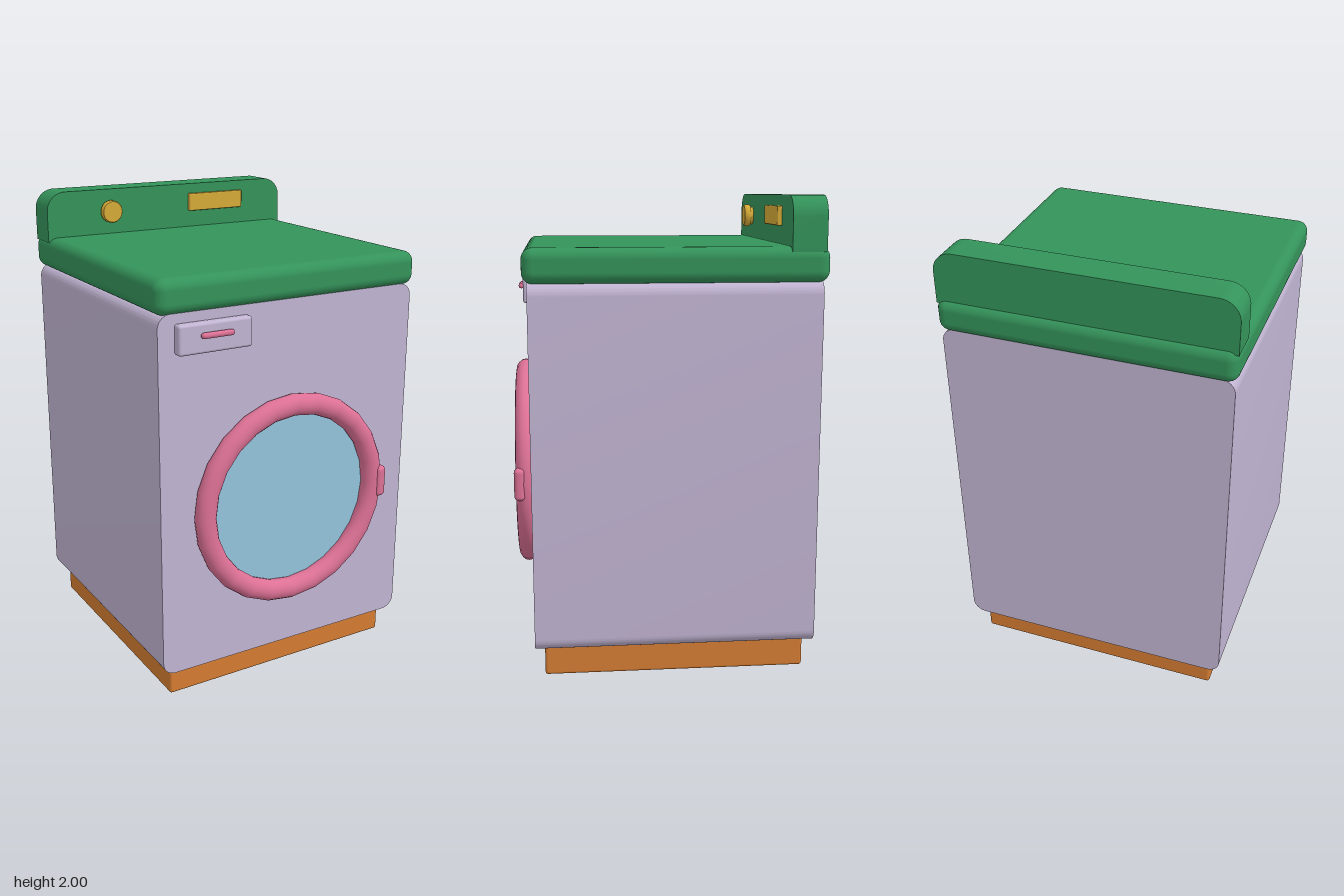
import * as THREE from 'three';
import { toCreasedNormals } from 'three/addons/utils/BufferGeometryUtils.js';
import { RoundedBoxGeometry } from 'three/addons/geometries/RoundedBoxGeometry.js';

const mat = (name, color) => {
  const m = new THREE.MeshStandardMaterial({ color });
  m.name = name;
  return m;
};

// Upright slab with rounded corners (top radius rt, bottom radius rb), running from z0 to z1
function slab(x0, x1, y0, y1, z0, z1, rt, rb) {
  const s = new THREE.Shape();
  s.moveTo(x0 + rb, y0);
  s.lineTo(x1 - rb, y0);
  if (rb) s.absarc(x1 - rb, y0 + rb, rb, -Math.PI / 2, 0);
  s.lineTo(x1, y1 - rt);
  s.absarc(x1 - rt, y1 - rt, rt, 0, Math.PI / 2);
  s.lineTo(x0 + rt, y1);
  s.absarc(x0 + rt, y1 - rt, rt, Math.PI / 2, Math.PI);
  s.lineTo(x0, y0 + rb);
  if (rb) s.absarc(x0 + rb, y0 + rb, rb, Math.PI, Math.PI * 1.5);
  const g = new THREE.ExtrudeGeometry(s, { depth: z1 - z0, bevelEnabled: false, curveSegments: 8 });
  return toCreasedNormals(g.translate(0, 0, z0), 0.6);
}

// Box with softened edges given by its limits
function softBox(x0, x1, y0, y1, z0, z1, r) {
  return new RoundedBoxGeometry(x1 - x0, y1 - y0, z1 - z0, 4, r)
    .translate((x0 + x1) / 2, (y0 + y1) / 2, (z0 + z1) / 2);
}

export function createModel() {
  const lilac = mat('lilac enamel', 0xc2b5d3);
  const green = mat('green enamel', 0x34935a);
  const pink = mat('pink trim', 0xdd7196);
  const blue = mat('blue glass', 0x94c4dd);
  const orange = mat('orange plinth', 0xd57c32);
  const yellow = mat('yellow controls', 0xd6aa38);

  const model = new THREE.Group();
  model.name = 'washingMachine';
  const add = (name, geometry, material) => {
    const mesh = new THREE.Mesh(geometry, material);
    mesh.name = name;
    model.add(mesh);
    return mesh;
  };

  // Cabinet
  add('plinth', softBox(-0.55, 0.547, 0.005, 0.14, -0.577, 0.525, 0.012), orange);
  add('cabinet', slab(-0.6, 0.6, 0.13, 1.665, -0.615, 0.565, 0.055, 0.055), lilac);
  add('lid', softBox(-0.61, 0.61, 1.658, 1.8, -0.64, 0.585, 0.045), green);
  add('controlPanel', slab(-0.606, 0.606, 1.78, 2.0, -0.62, -0.48, 0.085, 0), green);

  // Door
  const ring = add('doorRing', new THREE.TorusGeometry(0.415, 0.046, 16, 24), pink);
  ring.position.set(0, 0.815, 0.594);
  ring.scale.z = 0.88;
  const glass = add('doorGlass', new THREE.CircleGeometry(0.39, 48), blue);
  glass.position.set(0, 0.815, 0.575);
  add('doorLatch', softBox(0.415, 0.466, 0.745, 0.885, 0.595, 0.64, 0.02), pink);

  // Detergent drawer
  add('drawer', softBox(-0.53, -0.205, 1.505, 1.626, 0.56, 0.605, 0.012), lilac);
  const handle = add('drawerHandle', new THREE.CapsuleGeometry(0.0125, 0.12, 6, 12), pink);
  handle.rotation.z = Math.PI / 2;
  handle.position.set(-0.368, 1.578, 0.615);

  // Dial turned from a profile: narrow neck, softened cap
  const profile = [[0, -0.01], [0.04, -0.01], [0.04, 0.012], [0.047, 0.012], [0.05, 0.017],
    [0.05, 0.034], [0.046, 0.041], [0, 0.041]].map(([r, h]) => new THREE.Vector2(r, h));
  const dial = add('dial', toCreasedNormals(new THREE.LatheGeometry(profile, 24), 0.6), yellow);
  dial.rotation.x = Math.PI / 2;
  dial.position.set(-0.307, 1.902, -0.48);

  add('display', softBox(0.1, 0.385, 1.875, 1.955, -0.49, -0.46, 0.005), yellow);
  return model;
}
